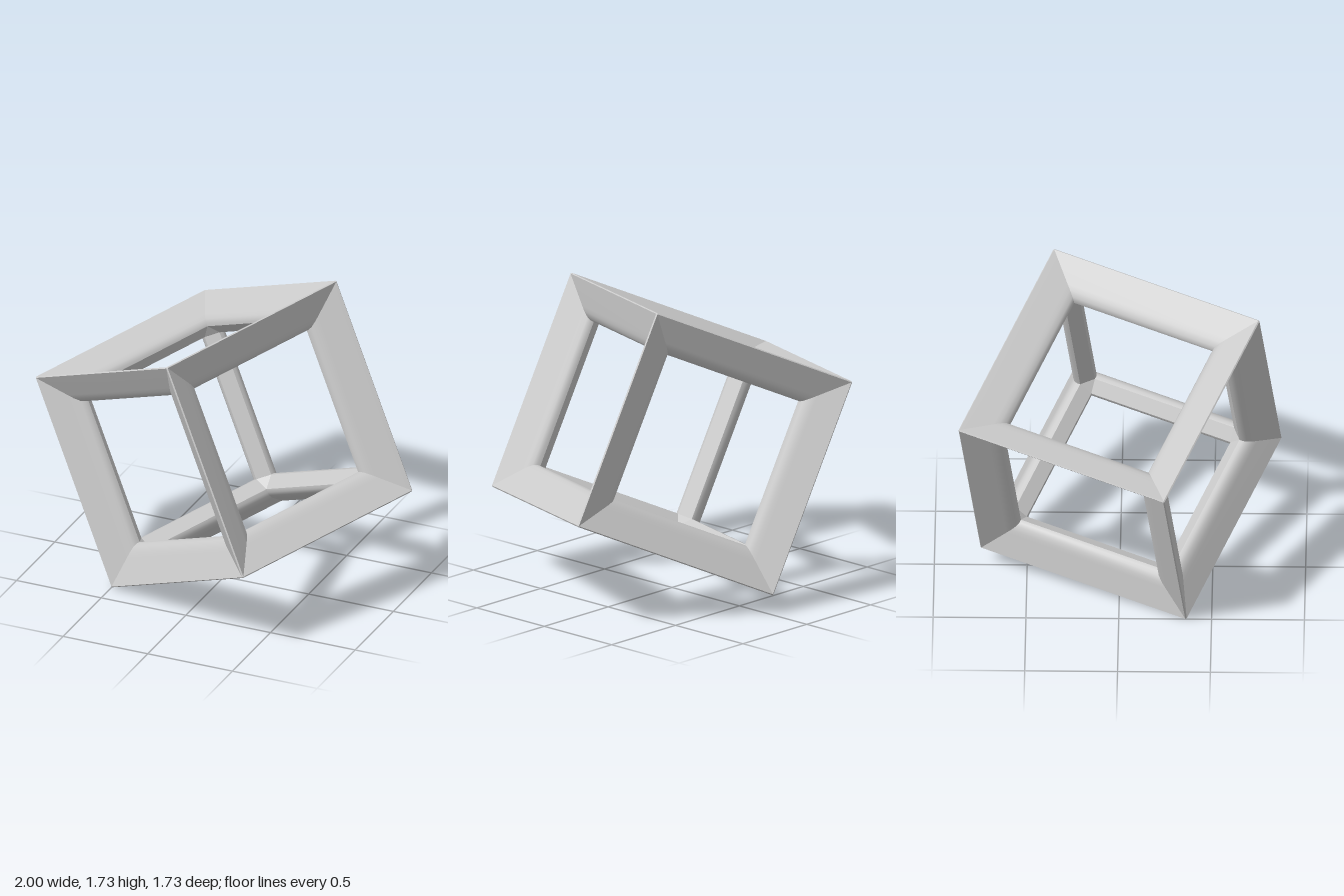
import * as THREE from 'three';
import { toCreasedNormals } from 'three/addons/utils/BufferGeometryUtils.js';

const H = 0.615; // half of the cube's edge

// Half of the bar's section: [inset across the face, depth below the face]
const HALF = [
  [0.006, 0], [0.14, 0.067], [0.165, 0.08], [0.19, 0.1], [0.2, 0.12], [0.2, 0.14],
];

function geometryFrom(positions, crease) {
  const g = new THREE.BufferGeometry();
  g.setAttribute('position', new THREE.Float32BufferAttribute(positions, 3));
  return toCreasedNormals(g, crease);
}

// Upright bar at the +x +z edge, its ends mitred along the face diagonals
function barGeometry() {
  const section = [...HALF, ...HALF.map(([p, q]) => [q, p]).reverse()];
  const point = ([a, b], side) => [H - a, side * (H - Math.max(a, b)), H - b];
  const out = [];
  section.forEach((s, i) => {
    const n = section[(i + 1) % section.length];
    const b0 = point(s, -1), t0 = point(s, 1), b1 = point(n, -1), t1 = point(n, 1);
    out.push(...b0, ...t0, ...b1, ...b1, ...t0, ...t1);
  });
  return geometryFrom(out, 0.6);
}

// Small triangles closing the outer tip and the inner side of the +++ corner
function cornerGeometry() {
  const tri = ([p, q]) => [[H - q, H - p, H - p], [H - p, H - q, H - p], [H - p, H - p, H - q]];
  const outer = tri(HALF[0]);
  const inner = tri(HALF[HALF.length - 1]).reverse();
  return geometryFrom([...outer, ...inner].flat(), 0.1);
}

export function createModel() {
  const model = new THREE.Group();
  model.name = 'cubeFrame';
  const material = new THREE.MeshStandardMaterial({ color: 0xcccccc });
  const bar = barGeometry();
  const corner = cornerGeometry();

  // Four copies of a part turned about y, in a group with its own rotation
  function fourAround(name, geometry, rotation) {
    const group = new THREE.Group();
    group.name = name;
    for (let k = 0; k < 4; k++) {
      const mesh = new THREE.Mesh(geometry, material);
      mesh.name = name + (k + 1);
      mesh.rotation.y = (k * Math.PI) / 2;
      group.add(mesh);
    }
    group.rotation.set(...rotation);
    model.add(group);
  }

  // Twelve bars
  fourAround('uprightBar', bar, [0, 0, 0]);
  fourAround('crossBar', bar, [0, 0, Math.PI / 2]);
  fourAround('depthBar', bar, [Math.PI / 2, 0, 0]);

  // Eight corners
  fourAround('upperCorner', corner, [0, 0, 0]);
  fourAround('lowerCorner', corner, [Math.PI, 0, 0]);

  // Tilt the cube so that it balances on one corner
  model.quaternion.setFromUnitVectors(
    new THREE.Vector3(1, 0, 0), new THREE.Vector3(2, 1, 1).normalize());
  model.position.y = 0.865;

  const root = new THREE.Group();
  root.name = 'tiltedCubeFrame';
  root.add(model);
  return root;
}
